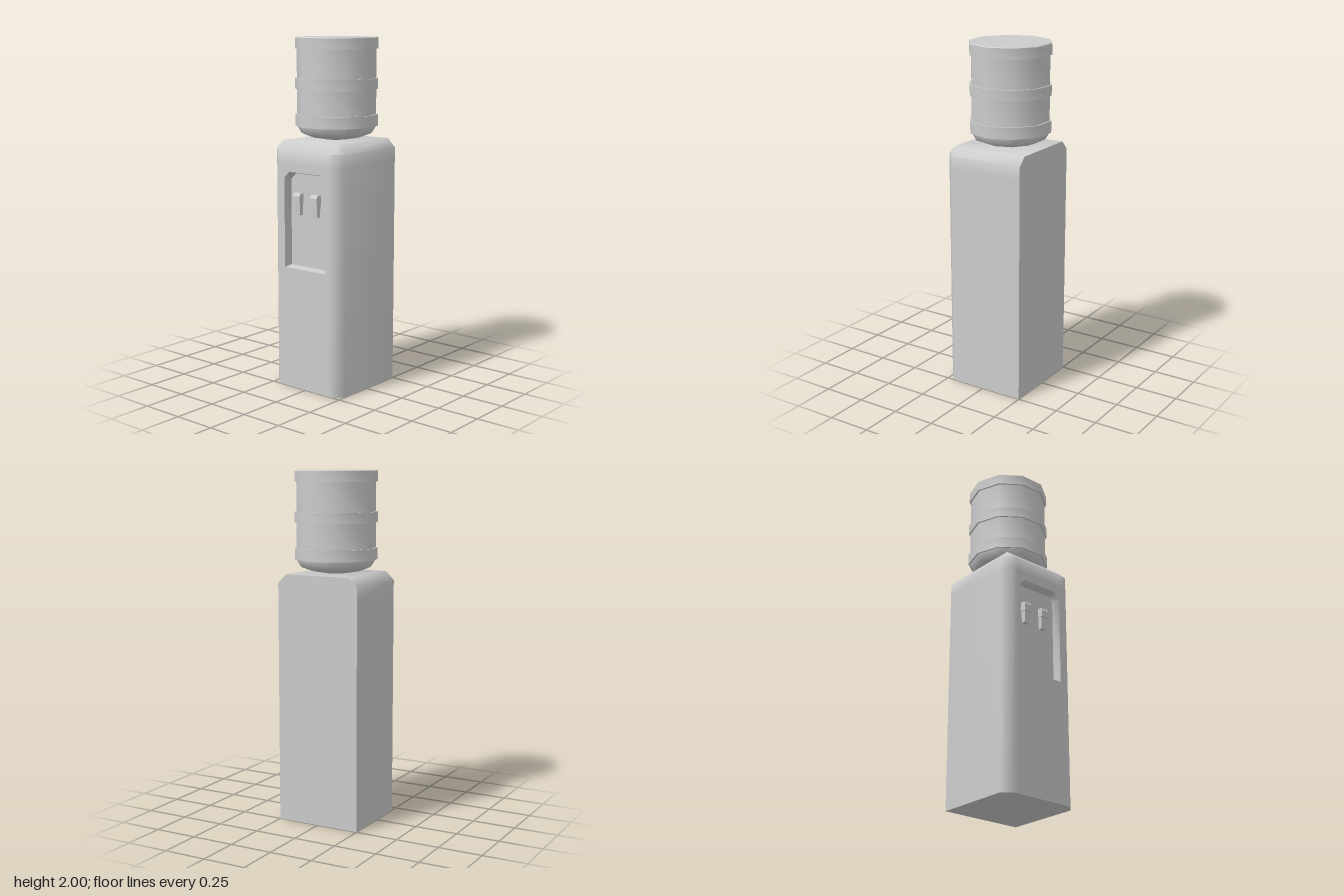
import * as THREE from 'three';
import { toCreasedNormals } from 'three/addons/utils/BufferGeometryUtils.js';

const material = new THREE.MeshStandardMaterial({ color: 0xcccccc });

function addMesh(parent, name, geometry) {
  const mesh = new THREE.Mesh(geometry, material);
  mesh.name = name;
  parent.add(mesh);
  return mesh;
}

// Collects triangles, quads and shapes into one creased geometry.
function surface() {
  const pos = [];
  const tri = (a, b, c) => {
    const area = new THREE.Triangle(
      new THREE.Vector3(...a), new THREE.Vector3(...b), new THREE.Vector3(...c)).getArea();
    if (area > 1e-8) pos.push(...a, ...b, ...c);
  };
  return {
    quad(a, b, c, d) { tri(a, b, c); tri(a, c, d); },
    fan(p) { for (let i = 1; i < p.length - 1; i++) tri(p[0], p[i], p[i + 1]); },
    shape(s, z) {
      const g = new THREE.ShapeGeometry(s).translate(0, 0, z).toNonIndexed();
      pos.push(...g.attributes.position.array);
    },
    build(crease) {
      const g = new THREE.BufferGeometry();
      g.setAttribute('position', new THREE.Float32BufferAttribute(pos, 3));
      return toCreasedNormals(g, crease);
    },
  };
}

const toShape = (pts) => new THREE.Shape(pts.map(([x, y]) => new THREE.Vector2(x, y)));

// Niche outline with clipped top corners, shrunk by an inset.
function nicheOutline(inset) {
  const w = 0.15 - inset, bottom = 0.705 + inset, top = 1.255 - inset * 1.5, c = 0.036;
  return [[-w, bottom], [w, bottom], [w, top - c], [w - c, top], [c - w, top], [-w, top - c]];
}

// Cabinet: square back, bevelled front and top edges, niche in the front.
function cabinetGeometry() {
  const s = surface();
  const outline = [[-0.25, -0.25], [-0.25, 0.2], [-0.2, 0.25], [-0.165, 0.25],
    [0.165, 0.25], [0.2, 0.25], [0.25, 0.2], [0.25, -0.25]];
  const ring = (y) => outline.map(([x, z]) => [x, y, z]);
  const top = outline.map(([x, z]) =>
    [THREE.MathUtils.clamp(x, -0.2, 0.2), 1.425, Math.min(z, 0.2)]);
  const rows = [ring(0), ring(1.3), ring(1.375), top];
  for (let r = 0; r < 3; r++) {
    for (let i = 0; i < outline.length; i++) {
      if (r === 0 && i === 3) continue; // the panel with the niche goes here
      const j = (i + 1) % outline.length;
      s.quad(rows[r][i], rows[r][j], rows[r + 1][j], rows[r + 1][i]);
    }
  }
  s.fan(top);
  s.fan(ring(0).reverse());

  // Front panel with opening, tapered niche walls and niche back
  const outer = nicheOutline(0), inner = nicheOutline(0.008);
  const panel = toShape([[-0.165, 0], [0.165, 0], [0.165, 1.3], [-0.165, 1.3]]);
  panel.holes.push(toShape(outer));
  s.shape(panel, 0.25);
  outer.forEach((a, i) => {
    const j = (i + 1) % outer.length;
    s.quad([...a, 0.25], [...outer[j], 0.25], [...inner[j], 0.2], [...inner[i], 0.2]);
  });
  s.shape(toShape(inner), 0.2);
  return s.build(THREE.MathUtils.degToRad(50));
}

// Block extruded across x from a side profile of [z, y] points.
function sideProfile(points, width) {
  const g = new THREE.ExtrudeGeometry(toShape(points), { depth: width, bevelEnabled: false });
  return g.translate(0, 0, -width / 2).rotateY(-Math.PI / 2);
}

function createTap(x) {
  const tap = new THREE.Group();
  tap.name = 'tap';
  addMesh(tap, 'tapLever',
    sideProfile([[0, 1.08], [0.036, 1.08], [0.036, 1.12], [0.026, 1.135], [0, 1.135]], 0.048));
  // Spout narrows towards its lower end
  const spout = new THREE.BoxGeometry(0.04, 0.07, 0.028).translate(0, 1.045, 0.014);
  const p = spout.attributes.position;
  for (let i = 0; i < p.count; i++) {
    if (p.getY(i) < 1.045) p.setXYZ(i, p.getX(i) * 0.88, p.getY(i), p.getZ(i) * 0.85);
  }
  spout.computeVertexNormals();
  addMesh(tap, 'tapSpout', spout);
  tap.position.set(x, 0, 0.2);
  return tap;
}

// Ten-sided bottle with three raised bands
function bottleGeometry() {
  const profile = [[0, 1.425], [0.07, 1.427], [0.15, 1.441], [0.2, 1.46], [0.225, 1.5]];
  for (const [low, high] of [[1.502, 1.568], [1.71, 1.77], [1.935, 1.995]]) {
    profile.push([0.225, low], [0.235, low], [0.235, high]);
    if (high < 1.9) profile.push([0.225, high]);
  }
  profile.push([0.23, 2], [0, 2]);
  const lathe = new THREE.LatheGeometry(profile.map(([r, y]) => new THREE.Vector2(r, y)), 10);
  lathe.rotateY(Math.PI / 2);
  return toCreasedNormals(lathe, THREE.MathUtils.degToRad(40));
}

export function createModel() {
  const model = new THREE.Group();
  model.name = 'waterDispenser';
  addMesh(model, 'cabinet', cabinetGeometry());
  for (const x of [-0.074, 0.053]) model.add(createTap(x));
  addMesh(model, 'bottle', bottleGeometry()).position.z = -0.028;
  return model;
}
